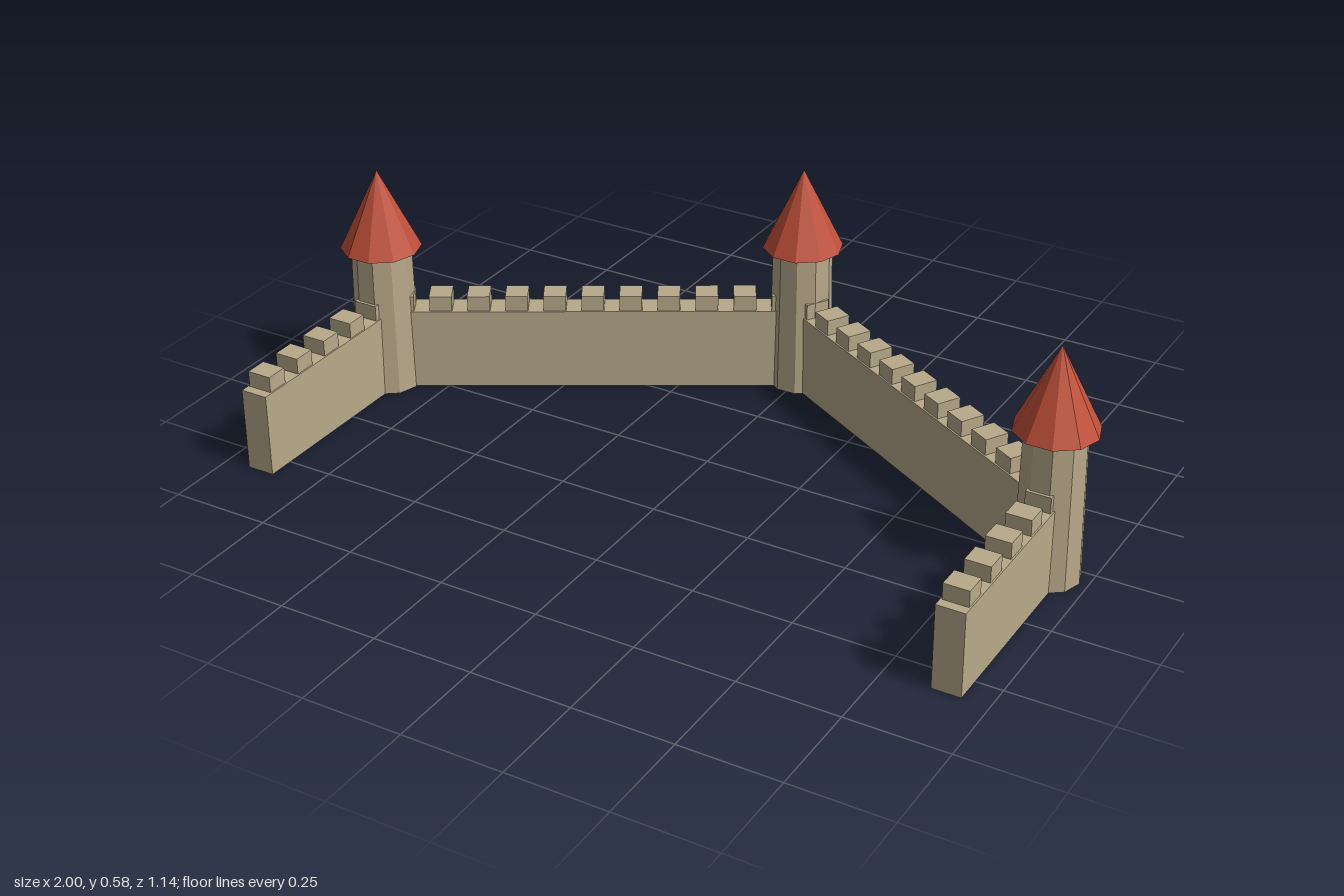
import * as THREE from 'three';

export function createModel() {
  const model = new THREE.Group();
  const stone = new THREE.MeshStandardMaterial({ color: 0xb8a98a, flatShading: true });
  stone.name = 'sandstone';
  const tile = new THREE.MeshStandardMaterial({ color: 0xc0503a, flatShading: true });
  tile.name = 'red roof tile';

  const SIDES = 10, WALL_H = 0.21, MERLON_H = 0.04, TOWER_H = 0.375, ROOF_H = 0.205;

  function add(parent, name, geometry, material, x, y, z) {
    const mesh = new THREE.Mesh(geometry, material);
    mesh.name = name;
    mesh.position.set(x, y, z);
    parent.add(mesh);
    return mesh;
  }

  // Slightly tapered tower with a pointed roof
  function addTower(name, [x, z]) {
    const tower = new THREE.Group();
    tower.name = name;
    tower.position.set(x, 0, z);
    tower.rotation.y = Math.PI / 2;
    add(tower, 'towerShaft', new THREE.CylinderGeometry(0.074, 0.08, TOWER_H, SIDES), stone, 0, TOWER_H / 2, 0);
    add(tower, 'towerRoof', new THREE.ConeGeometry(0.1, ROOF_H, SIDES), tile, 0, TOWER_H + ROOF_H / 2, 0);
    model.add(tower);
  }

  // Straight wall between two ground points, with evenly spaced merlons
  function addWall(name, [x0, z0], [x1, z1], merlons) {
    const length = Math.hypot(x1 - x0, z1 - z0);
    const wall = new THREE.Group();
    wall.name = name;
    wall.position.set((x0 + x1) / 2, 0, (z0 + z1) / 2);
    wall.rotation.y = Math.atan2(x1 - x0, z1 - z0);
    add(wall, 'wallBody', new THREE.BoxGeometry(0.07, WALL_H, length), stone, 0, WALL_H / 2, 0);
    const merlon = new THREE.BoxGeometry(0.062, MERLON_H, 0.056);
    for (let i = 0; i < merlons; i++) {
      const z = ((i + 0.5) / merlons - 0.5) * length;
      add(wall, 'merlon', merlon, stone, 0, WALL_H + MERLON_H / 2, z);
    }
    model.add(wall);
  }

  const back = [0, -0.472];
  addTower('backTower', back);
  for (const [side, s] of [['left', 1], ['right', -1]]) {
    const corner = [s * 0.9, 0.048];
    addTower(side + 'Tower', corner);
    addWall(side + 'BackWall', back, corner, 11);
    addWall(side + 'SideWall', corner, [s * 0.9, 0.568], 5);
  }
  return model;
}
